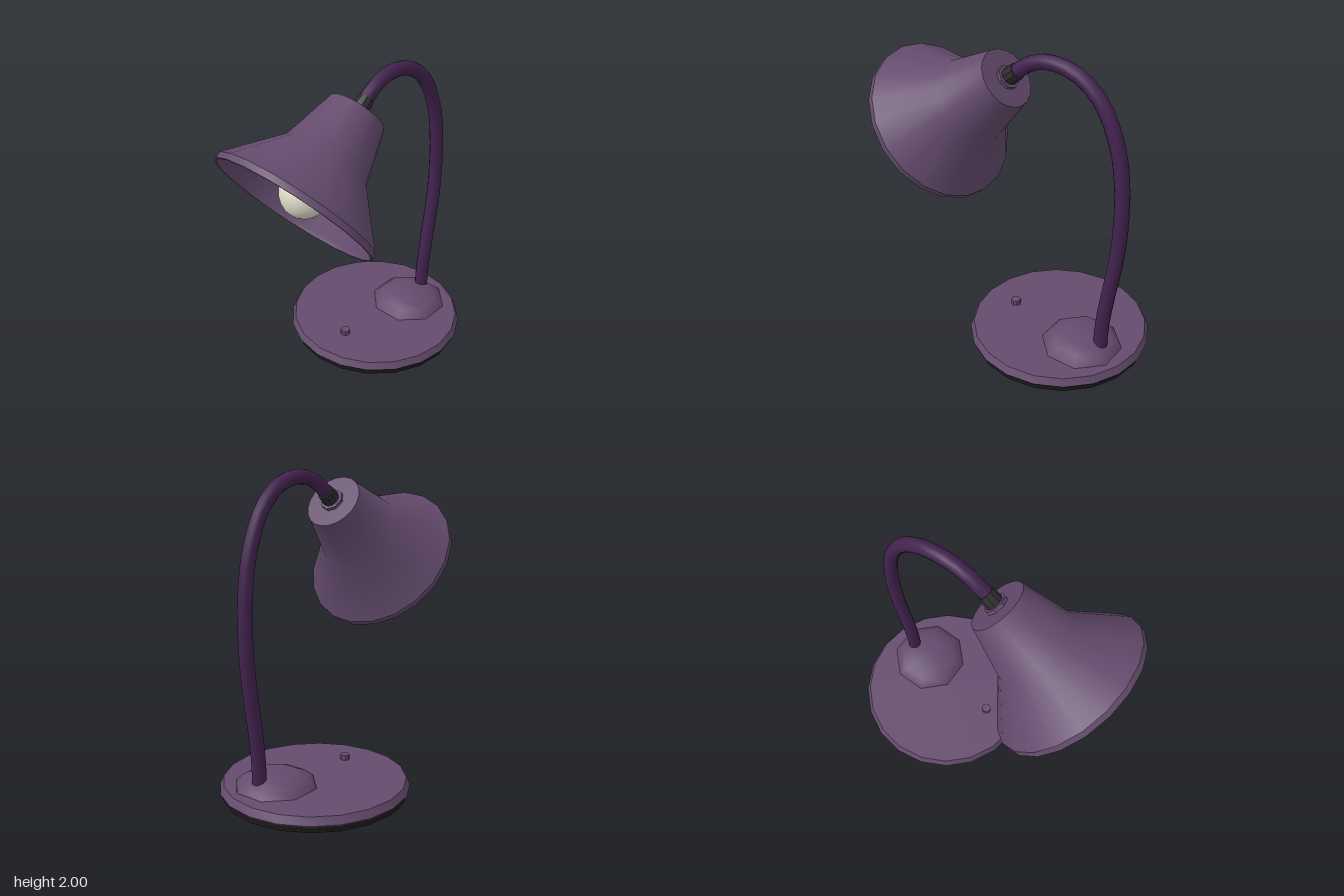
import * as THREE from 'three';
import { toCreasedNormals } from 'three/addons/utils/BufferGeometryUtils.js';

const material = (name, color) => {
  const m = new THREE.MeshStandardMaterial({ color });
  m.name = name;
  return m;
};

export function createModel() {
  const purple = material('purple enamel', 0x644b6d);
  const darkPurple = material('dark purple', 0x43234f);
  const black = material('black rubber', 0x1c1c1c);
  const charcoal = material('charcoal plastic', 0x2e2e2e);
  const cream = material('cream glass', 0xdedcc8);

  const lamp = new THREE.Group();
  lamp.name = 'deskLamp';

  // Turned part from [radius, height] pairs, listed bottom to top on the outside
  const turned = (name, parent, mat, sides, profile, crease = 0.6) => {
    const points = profile.map(([r, y]) => new THREE.Vector2(r, y));
    const geometry = toCreasedNormals(new THREE.LatheGeometry(points, sides), crease);
    const mesh = new THREE.Mesh(geometry, mat);
    mesh.name = name;
    parent.add(mesh);
    return mesh;
  };

  // Base: rubber foot, bevelled plate and switch
  const base = new THREE.Group();
  base.name = 'base';
  base.position.set(-0.02, 0, -0.3);
  lamp.add(base);
  turned('foot', base, black, 20, [[0, 0], [0.58, 0], [0.588, 0.04], [0, 0.04]]);
  turned('plate', base, purple, 20, [[0, 0.038], [0.588, 0.038], [0.6, 0.05], [0.577, 0.097], [0, 0.097]]);
  const button = turned('switch', base, purple, 8, [[0.033, 0.09], [0.033, 0.13], [0, 0.13]]);
  button.position.set(0.025, 0, 0.345);

  // Octagonal dome at the foot of the stem
  const dome = turned('stemDome', lamp, purple, 8,
    [[0.263, 0.09], [0.258, 0.105], [0.205, 0.15], [0.13, 0.18], [0, 0.184]], 0.9);
  dome.position.set(0.09, 0, -0.545);
  dome.rotation.y = Math.PI / 8;

  // Bent stem, points as [y, z]
  const path = [[0.09, -0.685], [0.3, -0.69], [0.5, -0.712], [0.75, -0.748], [0.95, -0.768], [1.15, -0.772],
    [1.35, -0.76], [1.57, -0.715], [1.8, -0.6], [1.92, -0.45], [1.956, -0.27], [1.925, -0.14], [1.835, -0.01]];
  const curve = new THREE.CatmullRomCurve3(path.map(([y, z]) => new THREE.Vector3(0.095, y, z)));
  const stem = new THREE.Mesh(new THREE.TubeGeometry(curve, 30, 0.045, 12), darkPurple);
  stem.name = 'stem';
  lamp.add(stem);

  // Tilted head: local +y runs from the shade's mouth to the stem
  const head = new THREE.Group();
  head.name = 'head';
  head.position.set(0.095, 1.795, 0.038);
  head.rotation.x = -0.911;
  lamp.add(head);

  // Hollow shade: inside wall down to the lip, then outside wall back up
  turned('shade', head, purple, 20, [[0, -0.02], [0.165, -0.02], [0.255, -0.337], [0.502, -0.645],
    [0.512, -0.678], [0.523, -0.678], [0.523, -0.64], [0.273, -0.337], [0.185, 0], [0, 0]]);
  turned('collar', head, purple, 8, [[0.075, -0.01], [0.075, 0.022], [0, 0.022]]);
  turned('joint', head, charcoal, 10, [[0.05, 0], [0.056, 0.03], [0.052, 0.1], [0, 0.1]]);

  // Socket and bulb
  turned('socket', head, charcoal, 12, [[0, -0.33], [0.085, -0.33], [0.085, -0.015]]);
  const bulb = [[0, -0.705]];
  for (let i = 1; i <= 9; i++) {
    const a = (i / 9) * 2.65;
    bulb.push([0.15 * Math.sin(a), -0.555 - 0.15 * Math.cos(a)]);
  }
  bulb.push([0.066, -0.38], [0.066, -0.325]);
  turned('bulb', head, cream, 16, bulb, 0.8);

  return lamp;
}
